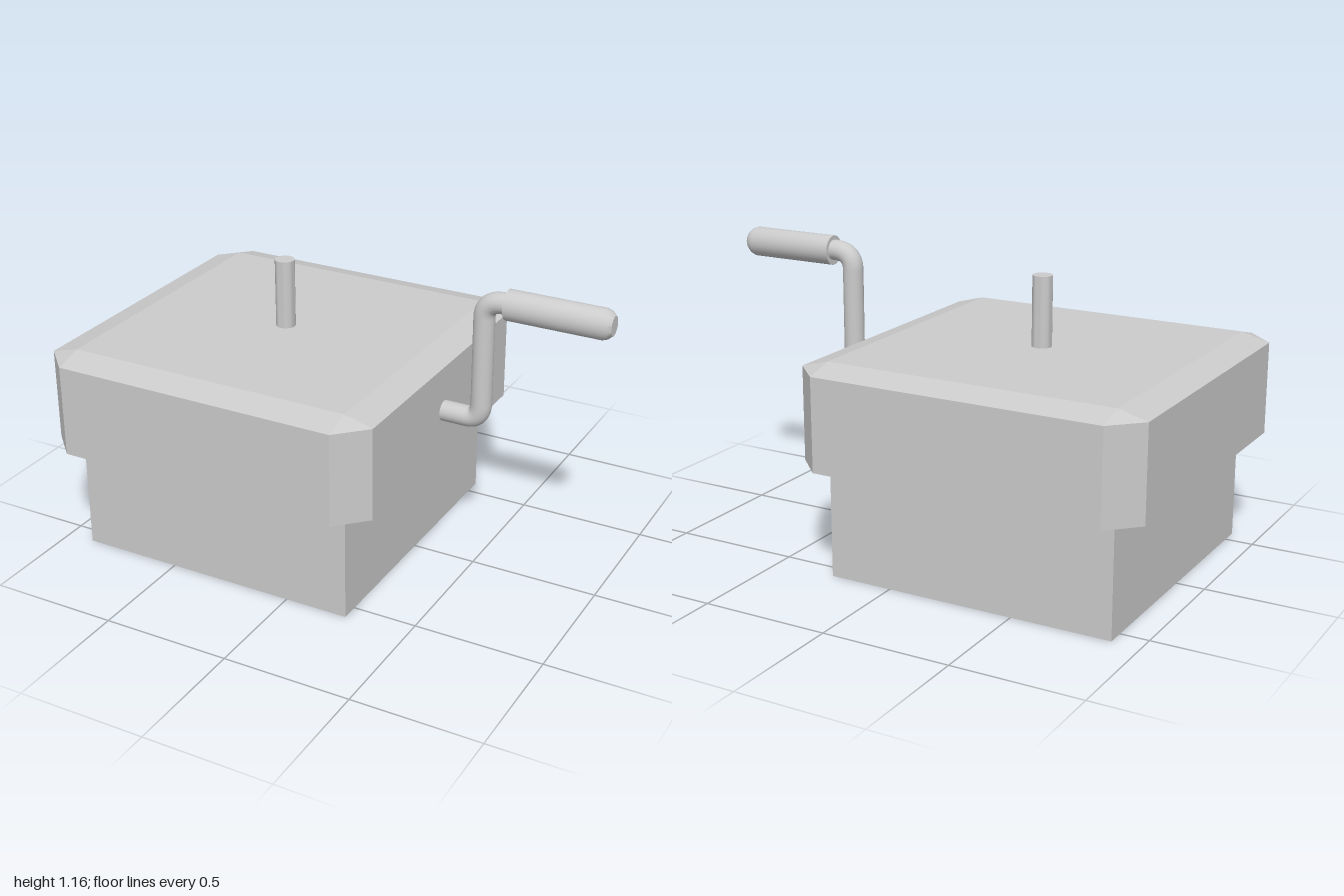
import * as THREE from 'three';
import { ConvexGeometry } from 'three/addons/geometries/ConvexGeometry.js';
import { toCreasedNormals } from 'three/addons/utils/BufferGeometryUtils.js';

const CX = -0.32; // centre of the box body
const INNER = 0.57, OUTER = 0.68;

export function createModel() {
  const model = new THREE.Group();
  const add = (name, geometry, x, y, z = 0, flatShading = false) => {
    const material = new THREE.MeshStandardMaterial({ color: 0xcccccc, flatShading });
    const mesh = new THREE.Mesh(geometry, material);
    mesh.name = name;
    mesh.position.set(x, y, z);
    model.add(mesh);
    return mesh;
  };

  // Square lower body
  add('base', new THREE.BoxGeometry(INNER * 2, 0.42, INNER * 2), CX, 0.21, 0, true);

  // Wider upper body, chamfered on every edge
  const corners = [];
  for (const sx of [-1, 1]) for (const sz of [-1, 1]) {
    for (const y of [0.41, 0.83]) corners.push(new THREE.Vector3(sx * INNER, y, sz * INNER));
    for (const y of [0.44, 0.80]) {
      corners.push(new THREE.Vector3(sx * OUTER, y, sz * INNER));
      corners.push(new THREE.Vector3(sx * INNER, y, sz * OUTER));
    }
  }
  add('chamferedTop', new ConvexGeometry(corners), CX, 0, 0, true);

  // Upright pin in the middle of the top
  const pin = new THREE.CylinderGeometry(0.038, 0.038, 0.30, 24);
  add('pin', toCreasedNormals(pin, 0.7), CX, 0.95);

  // Bent crank rod: out, up, out
  const v = (x, y) => new THREE.Vector3(x, y, 0);
  const path = new THREE.CurvePath();
  path.add(new THREE.LineCurve3(v(0.32, 0.622), v(0.455, 0.622)));
  path.add(new THREE.QuadraticBezierCurve3(v(0.455, 0.622), v(0.511, 0.622), v(0.511, 0.69)));
  path.add(new THREE.LineCurve3(v(0.511, 0.69), v(0.511, 1.03)));
  path.add(new THREE.QuadraticBezierCurve3(v(0.511, 1.03), v(0.511, 1.099), v(0.59, 1.099)));
  path.add(new THREE.LineCurve3(v(0.59, 1.099), v(0.64, 1.099)));
  add('crankRod', new THREE.TubeGeometry(path, 80, 0.04, 20), 0, 0);

  // Slightly oval grip with a rounded tip
  const profile = [[0, 0], [0.053, 0], [0.053, 0.365], [0.047, 0.383], [0.033, 0.4], [0, 0.4]]
    .map(([r, y]) => new THREE.Vector2(r, y));
  const grip = new THREE.LatheGeometry(profile, 28);
  grip.rotateZ(-Math.PI / 2);
  grip.scale(1, 1.1, 1);
  add('crankGrip', toCreasedNormals(grip, 0.7), 0.6, 1.097);

  return model;
}
